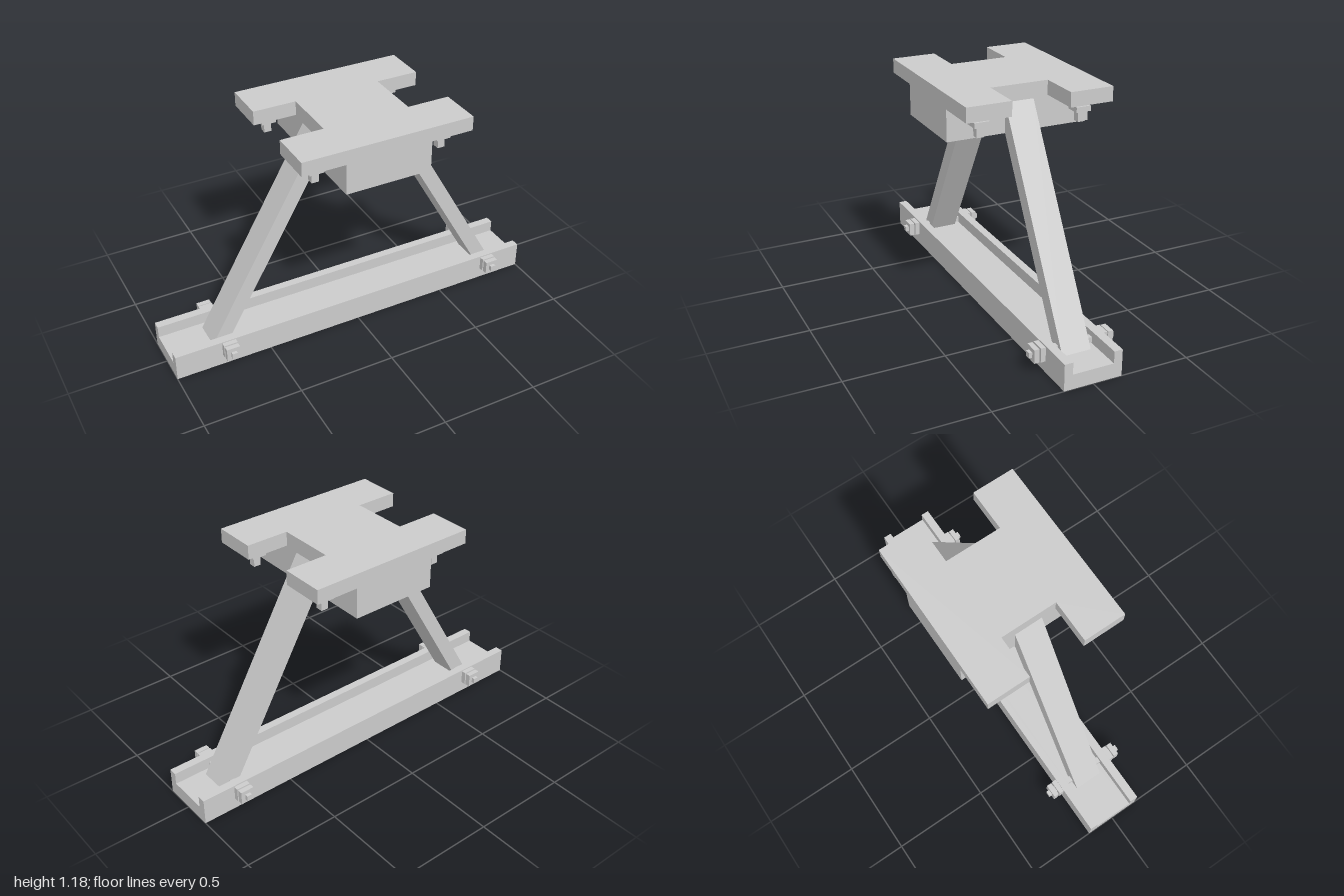
import * as THREE from 'three';

const CX = 0.035; // the frame sits slightly off the rail's centre
const material = new THREE.MeshStandardMaterial({ color: 0xcccccc, flatShading: true });

function box(name, w, h, d, x, y, z) {
  const mesh = new THREE.Mesh(new THREE.BoxGeometry(w, h, d), material);
  mesh.name = name;
  mesh.position.set(x, y, z);
  return mesh;
}

// Extrude an outline given as [x, y] points, centred on its depth
function prism(name, points, depth) {
  const shape = new THREE.Shape(points.map(([x, y]) => new THREE.Vector2(x, y)));
  const geometry = new THREE.ExtrudeGeometry(shape, { depth, bevelEnabled: false });
  geometry.translate(0, 0, -depth / 2);
  const mesh = new THREE.Mesh(geometry, material);
  mesh.name = name;
  return mesh;
}

// Square washer, nut and bolt end, pointing along +y from the origin
function bolt(name, size, shank, length) {
  const group = new THREE.Group();
  group.name = name;
  group.add(
    box('washer', size, 0.025, size, 0, 0.0125, 0),
    box('nut', size * 0.96, 0.026, size * 0.96, 0, 0.044, 0),
    box('shank', shank, length, shank, 0, length / 2, 0)
  );
  return group;
}

export function createModel() {
  const model = new THREE.Group();
  model.name = 'trestle';

  // U-shaped base rail
  const rail = prism('baseRail', [
    [-0.148, 0], [0.148, 0], [0.148, 0.136], [0.105, 0.136],
    [0.105, 0.075], [-0.105, 0.075], [-0.105, 0.136], [-0.148, 0.136]
  ], 2);
  rail.rotation.y = Math.PI / 2;
  model.add(rail);

  // H-shaped top plate over a solid block
  const plate = prism('topPlate', [
    [-0.443, -0.37], [0.443, -0.37], [0.443, -0.148], [0.223, -0.148], [0.223, 0.148], [0.443, 0.148],
    [0.443, 0.37], [-0.443, 0.37], [-0.443, 0.148], [-0.223, 0.148], [-0.223, -0.148], [-0.443, -0.148]
  ], 0.073);
  plate.rotation.x = -Math.PI / 2;
  plate.position.set(CX, 1.1485, 0);
  model.add(plate, box('topBlock', 0.446, 0.157, 0.74, CX, 1.0335, 0));

  for (const side of [-1, 1]) {
    const label = side > 0 ? 'left' : 'right';

    // Sloping leg, cut flush with the block and the rail floor
    const outline = [[0.223, 1.105], [0.223, 0.955], [0.728, 0.075], [0.815, 0.075]]
      .map(([x, y]) => [CX + side * x, y]);
    model.add(prism(label + 'Leg', outline, 0.148));

    // Pin through the rail walls and leg foot
    const pinX = CX + side * 0.757;
    model.add(box(label + 'Pin', 0.028, 0.028, 0.3, pinX, 0.094, 0));

    for (const end of [-1, 1]) {
      const railBolt = bolt(label + 'RailBolt', 0.072, 0.028, 0.074);
      railBolt.rotation.x = end * Math.PI / 2;
      railBolt.position.set(pinX, 0.094, end * 0.148);

      const plateBolt = bolt(label + 'PlateBolt', 0.079, 0.037, 0.11);
      plateBolt.rotation.x = Math.PI;
      plateBolt.position.set(CX + side * 0.333, 1.112, end * 0.26);
      model.add(railBolt, plateBolt);
    }
  }
  return model;
}
